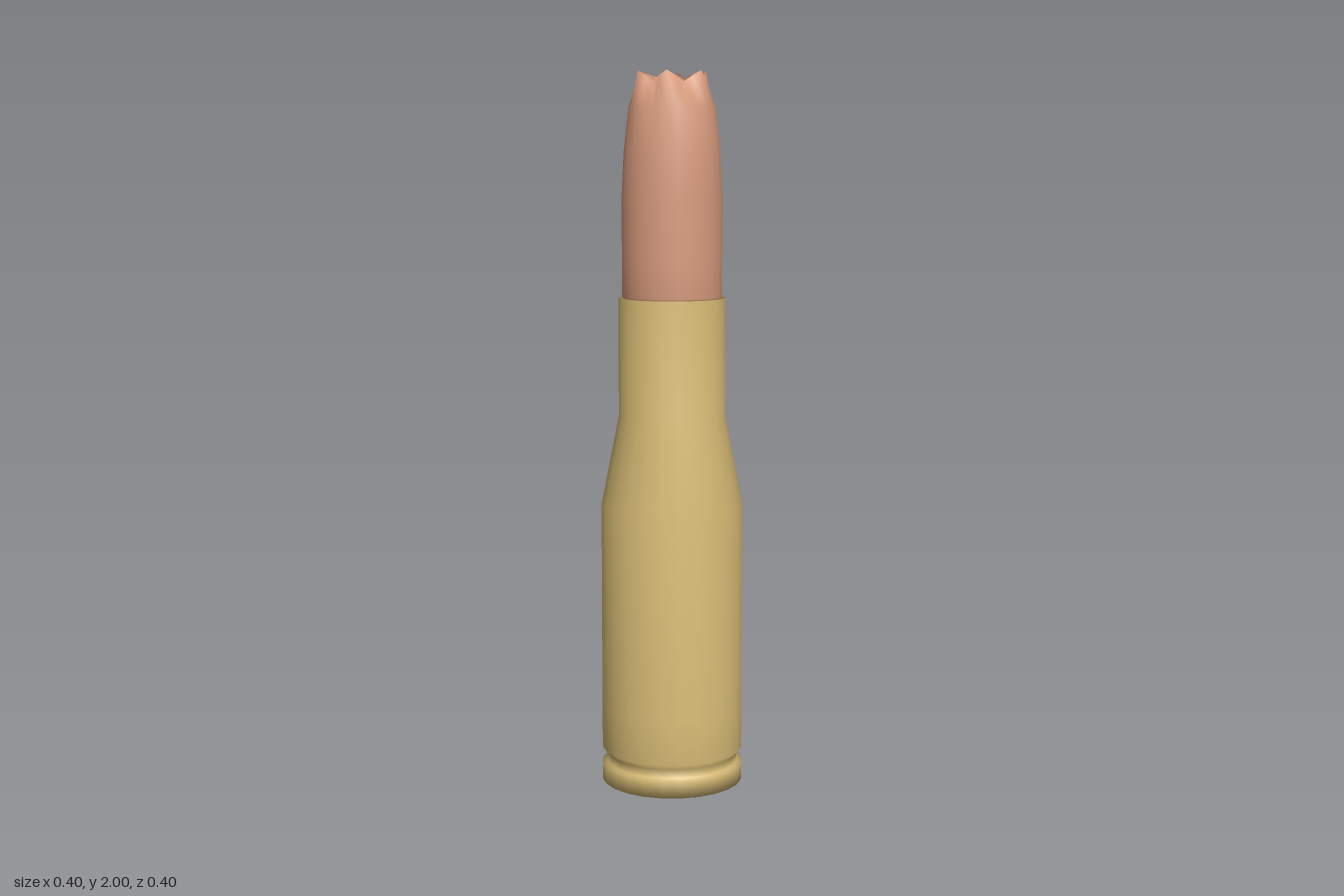
import * as THREE from 'three';
import { mergeVertices } from 'three/addons/utils/BufferGeometryUtils.js';

const SIDES = 24;
const LOBES = 6;

// Lathe a profile of [radius, height] pairs and weld it for smooth shading.
// pinch(height) gives how strongly the six folds pull the ring in and down.
function turned(profile, pinch) {
  const geo = new THREE.LatheGeometry(profile.map(([r, y]) => new THREE.Vector2(r, y)), SIDES);
  geo.deleteAttribute('uv');
  geo.deleteAttribute('normal');
  if (pinch) {
    const p = geo.attributes.position;
    for (let i = 0; i < p.count; i++) {
      const x = p.getX(i), y = p.getY(i), z = p.getZ(i);
      const fold = (1 - Math.cos(LOBES * Math.atan2(z, x))) / 2;
      const k = Math.hypot(x, z) > 0.001 ? pinch(y) * fold : 0;
      p.setXYZ(i, x * (1 - 0.17 * k), y - 0.03 * k, z * (1 - 0.17 * k));
    }
  }
  const welded = mergeVertices(geo, 1e-4);
  welded.computeVertexNormals();
  return welded;
}

export function createModel() {
  const brass = new THREE.MeshStandardMaterial({ color: 0xdcbf78 });
  brass.name = 'brass';
  const copper = new THREE.MeshStandardMaterial({ color: 0xd99c7e });
  copper.name = 'copper';

  const group = new THREE.Group();
  group.name = 'cartridge';

  // Case: base, rim, extractor groove, body, shoulder, neck and mouth
  const caseMesh = new THREE.Mesh(turned([
    [0, 0], [0.2, 0], [0.2, 0.05], [0.185, 0.053], [0.185, 0.078], [0.2, 0.095],
    [0.2, 0.22], [0.2, 0.8], [0.15, 1.05], [0.15, 1.38], [0.138, 1.38], [0.138, 1.34],
  ]), brass);
  caseMesh.name = 'case';
  group.add(caseMesh);

  // Bullet: straight shank, curved nose, folded rim and a small hollow
  const bullet = new THREE.Mesh(turned([
    [0, 1.37], [0.132, 1.37], [0.14, 1.385], [0.14, 1.48], [0.14, 1.66], [0.134, 1.78],
    [0.121, 1.9], [0.101, 2], [0.055, 1.985], [0.043, 1.93], [0, 1.92],
  ], (y) => (y > 1.925 ? 1 : 0)), copper);
  bullet.name = 'bullet';
  group.add(bullet);

  return group;
}
